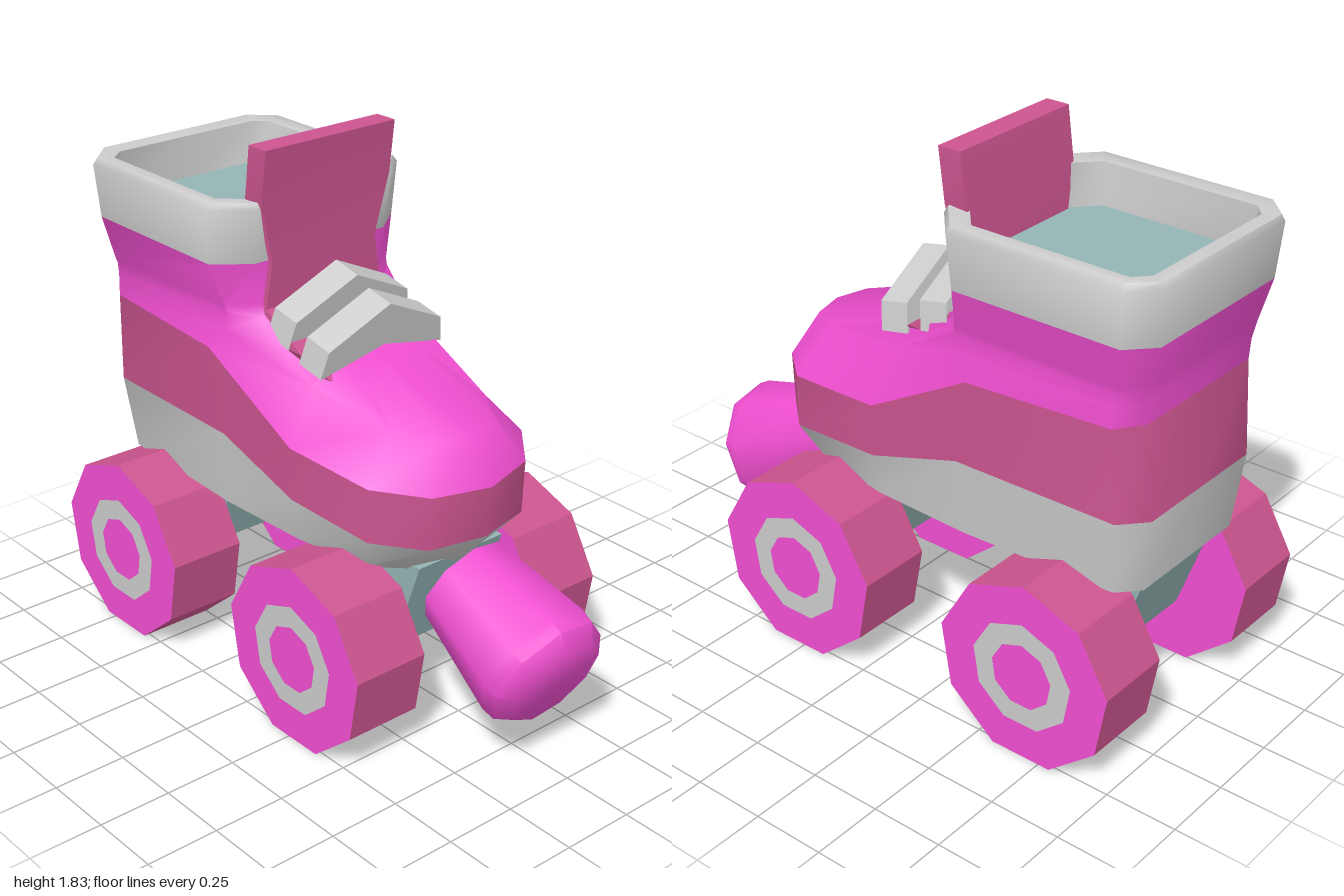
import * as THREE from 'three';
import { toCreasedNormals } from 'three/addons/utils/BufferGeometryUtils.js';

const paint = (color, extra = {}) => new THREE.MeshStandardMaterial({ color, ...extra });
const GREY = 0xcccccc, MAGENTA = 0xf04fd0, PINK = 0xcc5590, TEAL = 0x94b4b4;

// Zips lists of x, y and z into one half outline, from the back middle to the front middle
const half = (xs, ys, zs) => xs.map((x, i) => [x, Array.isArray(ys) ? ys[i] : ys, zs[i]]);
// Squashes an outline onto the middle plane, which closes a loft
const cap = (ring) => ring.map(([x, y]) => [x, y, 0]);

// Mirrors each half outline across z = 0 and skins the closed rings in order
function loft(rings, crease = 0.9) {
  const full = rings.map((r) => [...r, ...r.slice(1, -1).reverse().map(([x, y, z]) => [x, y, -z])]);
  const n = full[0].length, index = [];
  for (let i = 0; i < full.length - 1; i++) {
    for (let j = 0; j < n; j++) {
      const a = i * n + j, b = i * n + (j + 1) % n;
      index.push(a, b, b + n, a, b + n, a + n);
    }
  }
  const geo = new THREE.BufferGeometry();
  geo.setAttribute('position', new THREE.Float32BufferAttribute(full.flat(2), 3));
  geo.setIndex(index);
  return toCreasedNormals(geo, crease);
}

export function createModel() {
  const model = new THREE.Group();
  const add = (name, geo, material, parent = model) => {
    const mesh = new THREE.Mesh(geo, material);
    mesh.name = name;
    parent.add(mesh);
    return mesh;
  };

  // Boot outlines, from the sole up
  const soleBottom = half([-.925, -.925, -.86, -.3, .07, .35, .45, .5], .58,
    [0, .24, .31, .335, .32, .27, .17, 0]);
  const bandLow = half([-.955, -.955, -.88, -.28, .07, .42, .56, .605],
    [.845, .845, .845, .845, .735, .715, .7, .7], [0, .26, .345, .355, .35, .33, .2, 0]);
  const bandHigh = half([-.93, -.93, -.86, -.33, .07, .42, .57, .625],
    [1.17, 1.17, 1.165, 1.145, .92, .9, .885, .88], [0, .27, .355, .37, .355, .33, .2, 0]);
  const instepEdge = half([-.935, -.935, -.865, -.27, .05, .38, .51, .54],
    [1.24, 1.24, 1.24, 1.22, 1.1, 1.05, 1.03, 1.03], [0, .27, .35, .35, .25, .2, .12, 0]);
  const instepTop = half([-.94, -.94, -.87, -.26, -.19, .07, .07, .07],
    [1.28, 1.28, 1.28, 1.28, 1.26, 1.155, 1.16, 1.16], [0, .28, .35, .34, .26, .16, .07, 0]);
  const ankle = half([-.945, -.945, -.875, -.27, -.205, -.2, -.2, -.2], 1.3,
    [0, .28, .355, .345, .25, .15, .07, 0]);
  const collarLow = half([-.98, -.98, -.9, -.29, -.2, -.2, -.2, -.2], 1.445,
    [0, .3, .385, .385, .27, .15, .07, 0]);
  const collarHigh = half([-.995, -.995, -.91, -.28, -.175, -.19, -.19, -.19], 1.63,
    [0, .31, .4, .4, .28, .15, .07, 0]);
  const collarTop = half([-.985, -.985, -.905, -.285, -.185, -.195, -.195, -.195], 1.652,
    [0, .305, .385, .385, .275, .15, .07, 0]);
  const lip = half([-.93, -.93, -.885, -.32, -.25, -.25, -.25, -.25], 1.645,
    [0, .28, .33, .33, .25, .15, .07, 0]);
  const lining = half([-.92, -.92, -.87, -.33, -.26, -.26, -.26, -.26], 1.5,
    [0, .27, .32, .32, .24, .15, .07, 0]);

  add('sole', loft([cap(soleBottom), soleBottom, bandLow]), paint(GREY));
  add('sideBand', loft([bandLow, bandHigh]), paint(PINK));
  add('upper', loft([bandHigh, instepEdge, instepTop, ankle, collarLow]), paint(MAGENTA));
  add('collar', loft([collarLow, collarHigh, collarTop, lip, lining], 1.1), paint(GREY));
  add('innerFloor', loft([lining, cap(lining)]), paint(TEAL, { side: THREE.DoubleSide }));

  // Tongue: front x, height and half width, from the instep to the tip
  const tongue = [[.1, 1.12, .21], [0, 1.19, .25], [-.185, 1.285, .24],
    [-.18, 1.44, .215], [-.165, 1.65, .265], [-.14, 1.83, .265]]
    .map(([x, y, w]) => half([x - .085, x - .085, x, x], y, [0, w, w, 0]));
  add('tongue', loft([cap(tongue[0]), ...tongue, cap(tongue.at(-1))], 0.5), paint(PINK));

  // Two peaked straps across the instep
  const peak = new THREE.Shape([[0, .21], [-.235, .095], [-.255, 0], [0, .06], [.255, 0], [.235, .095]]
    .map(([x, y]) => new THREE.Vector2(x, y)));
  const strapGeo = new THREE.ExtrudeGeometry(peak, { depth: .11, bevelEnabled: false });
  strapGeo.translate(0, 0, -.055).rotateY(Math.PI / 2);
  [[-.11, 1.2], [.052, 1.15]].forEach(([x, y]) => {
    const strap = add('strap', strapGeo, paint(GREY, { flatShading: true }));
    strap.position.set(x, y, 0);
    strap.rotation.z = -.2;
  });

  // Nine-sided wheels with a hub ring on the outer face, and a truck block per axle
  const R = .325, W = .275;
  const wheelGeo = new THREE.CylinderGeometry(R, R, W, 9, 1, false, Math.PI).rotateX(Math.PI / 2);
  const hubGeo = new THREE.RingGeometry(.115, .19, 9, 1, Math.PI / 2).translate(0, 0, W / 2 + .004);
  const block = new THREE.Shape([[-.22, .6], [-.1, .26], [.1, .26], [.22, .6]]
    .map(([x, y]) => new THREE.Vector2(x, y)));
  const truckGeo = new THREE.ExtrudeGeometry(block, { depth: .36, bevelEnabled: false }).translate(0, 0, -.18);
  const flat = { flatShading: true };
  for (const x of [-.68, .275]) {
    add('truck', truckGeo, paint(TEAL, flat)).position.x = x;
    for (const side of [1, -1]) {
      const wheel = new THREE.Group();
      wheel.name = 'wheel';
      add('tyre', wheelGeo, [paint(PINK, flat), paint(MAGENTA, flat), paint(MAGENTA, flat)], wheel);
      add('hubRing', hubGeo, paint(GREY), wheel);
      wheel.position.set(x, R * Math.cos(Math.PI / 9), side * .3825);
      if (side < 0) wheel.rotation.y = Math.PI;
      model.add(wheel);
    }
  }

  // Toe stopper: a flared plug pointing forward and down
  const plug = [[0, 0], [.17, 0], [.225, .36], [.22, .41], [.17, .46], [0, .465]]
    .map(([r, y]) => new THREE.Vector2(r, y));
  const stopper = add('toeStopper', toCreasedNormals(new THREE.LatheGeometry(plug, 9), 0.85), paint(MAGENTA));
  stopper.position.set(.516, .506, 0);
  stopper.rotation.z = -Math.PI / 2 - .425;

  return model;
}
